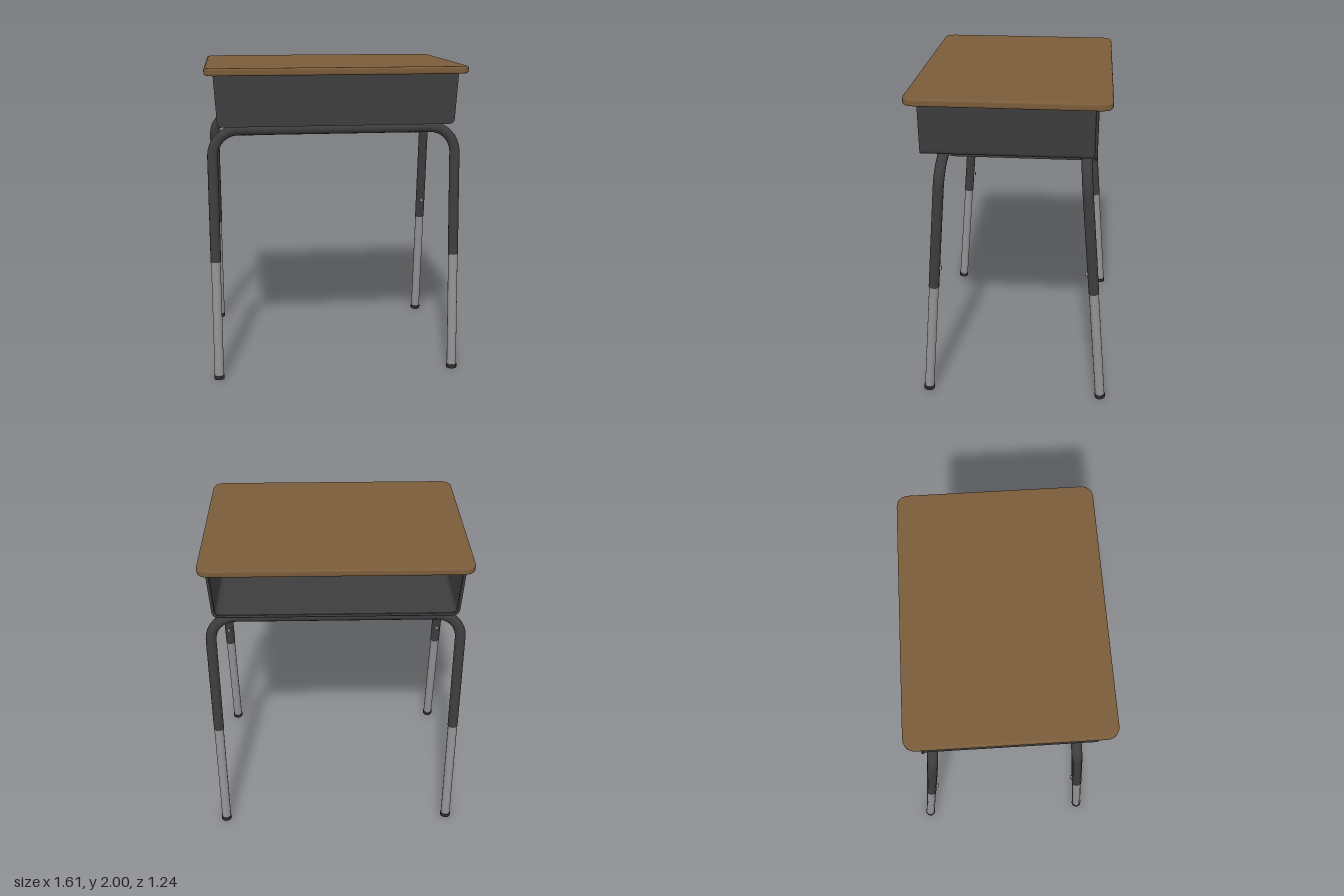
import * as THREE from 'three';

const mat = (name, color, side = THREE.FrontSide) => {
  const m = new THREE.MeshStandardMaterial({ color, side });
  m.name = name;
  return m;
};

const TUBE_Y = 1.605, LEG_X = 0.77, SLEEVE_Y = 0.775;

// Rounded rectangle outline centred on the origin
function roundedRect(w, d, r) {
  const s = new THREE.Shape(), x = w / 2, y = d / 2;
  s.moveTo(-x + r, -y);
  s.lineTo(x - r, -y).quadraticCurveTo(x, -y, x, -y + r);
  s.lineTo(x, y - r).quadraticCurveTo(x, y, x - r, y);
  s.lineTo(-x + r, y).quadraticCurveTo(-x, y, -x, y - r);
  s.lineTo(-x, -y + r).quadraticCurveTo(-x, -y, -x + r, -y);
  return s;
}

// U-shaped tray section, inset by t, running from left rim to right rim
function trayProfile(t) {
  const pts = [], top = 0.752 - t, low = 0.735 - t, y = 1.64 + t, r = 0.03;
  pts.push(new THREE.Vector2(top, 1.957), new THREE.Vector2(low, y + r));
  for (let i = 1; i <= 4; i++) {
    const a = (i / 4) * Math.PI / 2;
    pts.push(new THREE.Vector2(low - r + r * Math.cos(a), y + r - r * Math.sin(a)));
  }
  return [...pts, ...pts.map(p => new THREE.Vector2(-p.x, p.y)).reverse()];
}

export function createModel() {
  const model = new THREE.Group();
  const wood = mat('brown wood', 0x7a5c3a);
  const dark = mat('dark steel', 0x3d3d3d, THREE.DoubleSide);
  const chrome = mat('bright steel', 0x939393);
  const rubber = mat('black rubber', 0x2d2d2d);

  const add = (name, geo, material, x = 0, y = 0, z = 0, parent = model) => {
    const m = new THREE.Mesh(geo, material);
    m.name = name;
    m.position.set(x, y, z);
    parent.add(m);
    return m;
  };
  const rod = (name, a, b, r, material, parent) => {
    const dir = b.clone().sub(a);
    const m = add(name, new THREE.CylinderGeometry(r, r, dir.length(), 14), material, 0, 0, 0, parent);
    m.position.copy(a).add(b).multiplyScalar(0.5);
    m.quaternion.setFromUnitVectors(new THREE.Vector3(0, 1, 0), dir.normalize());
    return m;
  };

  // Desktop with softened edges
  const bevel = 0.012;
  const topGeo = new THREE.ExtrudeGeometry(roundedRect(1.61 - 2 * bevel, 1.205 - 2 * bevel, 0.065), {
    depth: 0.045 - 2 * bevel, bevelThickness: bevel, bevelSize: bevel, bevelSegments: 3, curveSegments: 5,
  });
  topGeo.rotateX(-Math.PI / 2);
  add('desktop', topGeo, wood, 0, 1.955 + bevel, 0.0125);

  // Book box: floor and sides in one folded sheet, open at the back
  const outer = trayProfile(0), inner = trayProfile(0.01).reverse();
  const extrude = (pts, depth) =>
    new THREE.ExtrudeGeometry(new THREE.Shape(pts), { depth, bevelEnabled: false });
  add('bookBoxShell', extrude([...outer, ...inner], 1.03), dark, 0, 0, -0.505);
  add('bookBoxFront', extrude(outer, 0.01), dark, 0, 0, 0.522);

  // Rolled lip around the open back
  const lip = new THREE.CurvePath();
  const lipPts = trayProfile(-0.002).map(p => new THREE.Vector3(p.x, Math.min(p.y, 1.955), -0.502));
  for (let i = 1; i < lipPts.length; i++) lip.add(new THREE.LineCurve3(lipPts[i - 1], lipPts[i]));
  add('backLip', new THREE.TubeGeometry(lip, 120, 0.009, 6), dark);

  // Support rails with riveted flanges below the box
  for (const s of [-1, 1]) {
    const rail = new THREE.Group();
    rail.name = 'supportRail';
    model.add(rail);
    add('railWeb', new THREE.BoxGeometry(0.04, 0.075, 0.8), dark, s * 0.53, 1.603, -0.02, rail);
    add('railFlange', new THREE.BoxGeometry(0.08, 0.008, 0.8), dark, s * 0.585, 1.637, -0.02, rail);
    for (const z of [-0.3, -0.02, 0.26])
      add('rivet', new THREE.CylinderGeometry(0.01, 0.007, 0.008, 8), chrome, s * 0.59, 1.63, z, rail);
  }

  // Front and back leg frames, each splayed outward toward the floor
  for (const [side, zTop, zFoot] of [['front', 0.41, 0.54], ['back', -0.45, -0.587]]) {
    const frame = new THREE.Group();
    frame.name = side + 'LegFrame';
    model.add(frame);
    const at = (x, y) => new THREE.Vector3(x, y, zTop + (zFoot - zTop) * (TUBE_Y - y) / TUBE_Y);

    // Bent upper tube
    const r = 0.16, k = r * 0.45, bendY = TUBE_Y - r, bendX = LEG_X - r;
    const path = new THREE.CurvePath();
    path.add(new THREE.LineCurve3(at(-LEG_X, SLEEVE_Y), at(-LEG_X, bendY)));
    path.add(new THREE.CubicBezierCurve3(at(-LEG_X, bendY), at(-LEG_X, TUBE_Y - k),
      at(-LEG_X + k, TUBE_Y), at(-bendX, TUBE_Y)));
    path.add(new THREE.LineCurve3(at(-bendX, TUBE_Y), at(bendX, TUBE_Y)));
    path.add(new THREE.CubicBezierCurve3(at(bendX, TUBE_Y), at(LEG_X - k, TUBE_Y),
      at(LEG_X, TUBE_Y - k), at(LEG_X, bendY)));
    path.add(new THREE.LineCurve3(at(LEG_X, bendY), at(LEG_X, SLEEVE_Y)));
    add('upperTube', new THREE.TubeGeometry(path, 100, 0.033, 14), dark, 0, 0, 0, frame);

    // Telescoping lower legs, feet and height-locking buttons
    for (const s of [-1, 1]) {
      const x = s * LEG_X;
      rod('lowerLeg', at(x, 0.02), at(x, 0.85), 0.0305, chrome, frame);
      rod('foot', at(x, 0.003), at(x, 0.028), 0.034, rubber, frame);
      const p = at(x, 0.91), inward = -Math.sign(zTop) * 0.034;
      const button = add('lockButton', new THREE.CylinderGeometry(0.013, 0.013, 0.02, 8), chrome,
        p.x, p.y, p.z + inward, frame);
      button.rotation.x = Math.PI / 2;
    }
  }
  return model;
}
